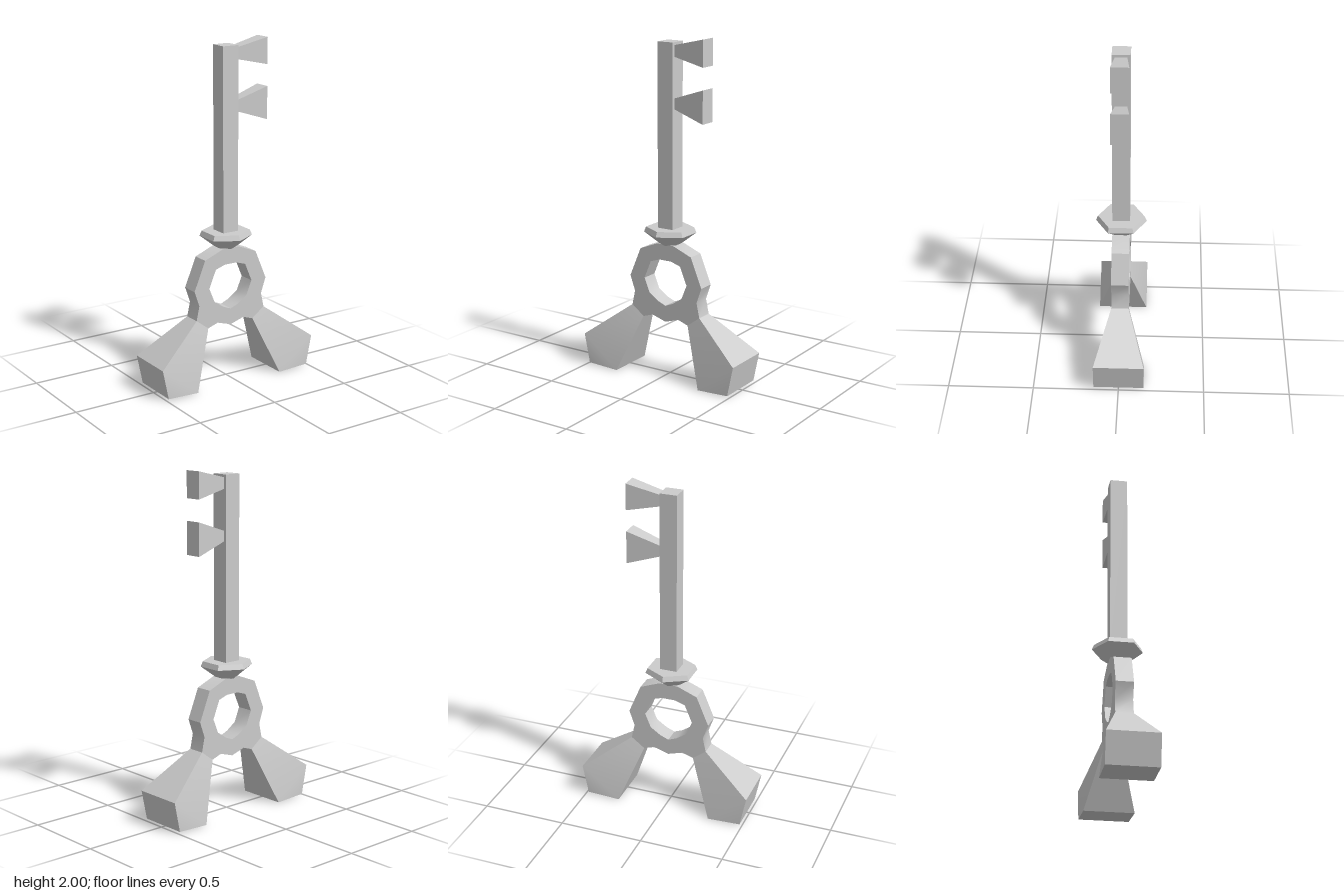
import * as THREE from 'three';
import { ConvexGeometry } from 'three/addons/geometries/ConvexGeometry.js';
import { toCreasedNormals } from 'three/addons/utils/BufferGeometryUtils.js';

const material = new THREE.MeshStandardMaterial({ color: 0xcccccc });
const T = 0.051; // half thickness of shaft and ring
const W = 0.147; // half thickness of the foot ends

// Solid spanned by [x, y, halfDepth] points, each placed at both +z and -z
function slab(points) {
  const corners = points.flatMap(([x, y, z]) => [
    new THREE.Vector3(x, y, z), new THREE.Vector3(x, y, -z)]);
  return new ConvexGeometry(corners);
}

// Full outline from its left half: mirror the points, dropping those on the axis
function mirrored(half) {
  const other = half.filter(([x]) => x !== 0).reverse().map(([x, y]) => [-x, y]);
  return [...half, ...other].map(([x, y]) => new THREE.Vector2(x, y));
}

export function createModel() {
  const model = new THREE.Group();
  model.name = 'key';
  const add = (name, geometry) => {
    const mesh = new THREE.Mesh(geometry, material);
    mesh.name = name;
    model.add(mesh);
    return mesh;
  };

  // Square shaft
  const shaft = add('shaft', new THREE.BoxGeometry(2 * T, 1.09, 2 * T));
  shaft.position.y = 1.425;

  // Flared teeth: [inner bottom, inner top, outer bottom, outer top]
  [[1.89, 1.953, 1.845, 2.0], [1.595, 1.653, 1.528, 1.72]].forEach(([a, b, c, d], i) => {
    add(i ? 'lowerTooth' : 'upperTooth',
      slab([[0.045, a, 0.033], [0.045, b, 0.033], [0.25, c, T], [0.25, d, T]]));
  });

  // Six-sided collar
  const profile = [[0, 0.79], [0.058, 0.795], [0.148, 0.865], [0.136, 0.895], [0, 0.895]]
    .map(([r, y]) => new THREE.Vector2(r, y));
  const collar = add('collar', toCreasedNormals(new THREE.LatheGeometry(profile, 6), 0.3));
  collar.scale.x = 1.04;

  // Ring of the bow with its opening
  const ringShape = new THREE.Shape(mirrored([
    [-0.055, 0.8], [-0.175, 0.752], [-0.248, 0.577], [-0.216, 0.485],
    [-0.235, 0.398], [-0.155, 0.338], [-0.09, 0.36], [0, 0.332]]));
  ringShape.holes.push(new THREE.Path(mirrored([
    [-0.04, 0.705], [-0.102, 0.685], [-0.147, 0.577], [-0.112, 0.492],
    [-0.05, 0.45], [0, 0.43]])));
  const ring = new THREE.ExtrudeGeometry(ringShape, { depth: 2 * T, bevelEnabled: false });
  ring.translate(0, 0, -T);
  add('bowRing', toCreasedNormals(ring, 0.7));

  // Two legs widening toward blunt feet
  for (const s of [1, -1]) {
    const leg = slab([
      [s * 0.235, 0.398, T], [s * 0.155, 0.338, T], [s * 0.288, 0, W],
      [s * 0.486, 0.008, W], [s * 0.522, 0.185, W]]);
    add(s > 0 ? 'leftLeg' : 'rightLeg', toCreasedNormals(leg, 0.4));
  }
  return model;
}
